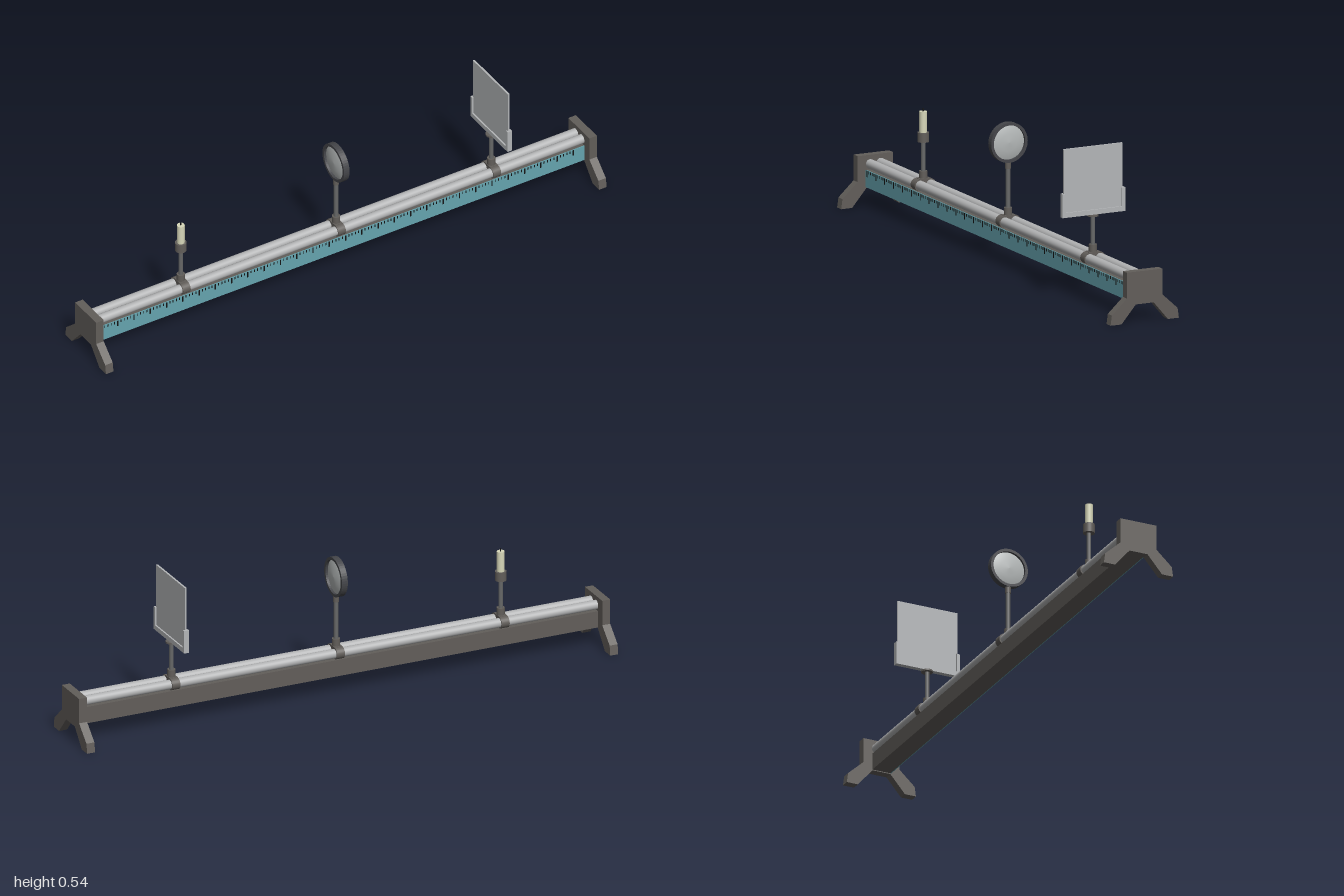
import * as THREE from 'three';
import { mergeGeometries } from 'three/addons/utils/BufferGeometryUtils.js';

const mat = (name, color) => {
  const m = new THREE.MeshStandardMaterial({ color });
  m.name = name;
  return m;
};

export function createModel() {
  const dark = mat('dark metal', 0x625e5a);
  const post = mat('post steel', 0x666767);
  const rod = mat('light steel', 0xb2b3b4);
  const teal = mat('ruler teal', 0x66a5b0);
  const black = mat('tick black', 0x141414);
  const grey = mat('screen grey', 0xb4b6b8);
  const glass = mat('lens glass', 0xb6baba);
  const frame = mat('lens frame', 0x45464a);
  const wax = mat('candle wax', 0xd8d8ba);

  const root = new THREE.Group();
  root.name = 'opticalBench';

  const add = (parent, name, geo, material, x = 0, y = 0, z = 0) => {
    const m = new THREE.Mesh(geo, material);
    m.name = name;
    m.position.set(x, y, z);
    parent.add(m);
    return m;
  };
  const box = (w, h, d) => new THREE.BoxGeometry(w, h, d);
  // upright cylinder from y0 to y1
  const upright = (parent, name, r, y0, y1, material) =>
    add(parent, name, new THREE.CylinderGeometry(r, r, y1 - y0, 24), material, 0, (y0 + y1) / 2, 0);
  const alongX = (r, len) => new THREE.CylinderGeometry(r, r, len, 24).rotateZ(Math.PI / 2);
  // outline in (z, y) extruded along x, centred on x = 0
  const plateX = (points, thickness) => {
    const shape = new THREE.Shape(points.map(([z, y]) => new THREE.Vector2(z, y)));
    return new THREE.ExtrudeGeometry(shape, { depth: thickness, bevelEnabled: false })
      .translate(0, 0, -thickness / 2).rotateY(-Math.PI / 2);
  };
  const mirrored = (half) => [...half, ...half.slice().reverse().map(([z, y]) => [-z, y])];

  // splayed end supports
  const leg = mirrored([[0.068, 0.178], [0.068, 0.088], [0.126, 0.035], [0.131, 0], [0.089, 0], [0.034, 0.064]]);
  for (const s of [-1, 1]) add(root, s < 0 ? 'rightSupport' : 'leftSupport', plateX(leg, 0.03), dark, s * 0.985);

  // beam, twin rods and ruler
  add(root, 'beam', box(1.94, 0.06, 0.068), dark, 0, 0.097, 0);
  for (const s of [-1, 1]) add(root, 'rod', alongX(0.0165, 1.94), rod, 0, 0.1465, s * 0.02);
  add(root, 'ruler', box(1.94, 0.06, 0.003), teal, 0, 0.097, 0.0355);

  // ruler ticks, every fifth one longer
  const ticks = [];
  for (let i = 0; i <= 145; i++) {
    const major = i % 5 === 0;
    const h = major ? 0.022 : 0.01;
    ticks.push(box(major ? 0.005 : 0.003, h, 0.001).translate(-0.96 + i * 0.013, 0.126 - h / 2, 0.0375));
  }
  add(root, 'rulerTicks', mergeGeometries(ticks), black);

  // sliding rider with a post, straddling both rods
  const rider = (name, x, postTop) => {
    const g = new THREE.Group();
    g.name = name;
    g.position.x = x;
    root.add(g);
    for (const s of [-1, 1]) add(g, 'riderSleeve', alongX(0.0205, 0.03), dark, 0, 0.1465, s * 0.02);
    add(g, 'riderBlock', box(0.03, 0.04, 0.04), dark, 0, 0.148, 0);
    upright(g, 'riderCollar', 0.014, 0.15, 0.193, dark);
    upright(g, 'post', 0.0078, 0.19, postTop, post);
    return g;
  };

  // candle
  const candle = rider('candleStand', -0.62, 0.3);
  upright(candle, 'candleCup', 0.02, 0.294, 0.327, dark);
  upright(candle, 'candle', 0.0135, 0.32, 0.4, wax);
  upright(candle, 'wick', 0.002, 0.4, 0.41, black);

  // lens in a round frame
  const lens = rider('lensStand', 0, 0.35);
  upright(lens, 'lensFerrule', 0.01, 0.328, 0.352, dark);
  const ring = [[0.06, -0.011], [0.07, -0.011], [0.07, 0.011], [0.06, 0.011], [0.06, -0.011]]
    .map(([r, h]) => new THREE.Vector2(r, h));
  const ringGeo = new THREE.LatheGeometry(ring, 48).toNonIndexed();
  ringGeo.computeVertexNormals();
  add(lens, 'lensFrame', ringGeo.rotateZ(Math.PI / 2), frame, 0, 0.42, 0);
  const bulge = [[0, -0.01], [0.03, -0.008], [0.061, -0.002], [0.061, 0.002], [0.03, 0.008], [0, 0.01]]
    .map(([r, h]) => new THREE.Vector2(r, h));
  add(lens, 'lens', new THREE.LatheGeometry(bulge, 48).rotateZ(Math.PI / 2), glass, 0, 0.42, 0);

  // screen in a U-shaped holder
  const screen = rider('screenStand', 0.62, 0.295);
  upright(screen, 'screenFlange', 0.02, 0.291, 0.297, dark);
  const holder = mirrored([[0.12, 0.297], [0.12, 0.38], [0.108, 0.38], [0.108, 0.314]]);
  add(screen, 'screenHolder', plateX(holder, 0.018), grey);
  add(screen, 'screen', box(0.007, 0.23, 0.226), grey, 0, 0.42, 0);

  return root;
}
